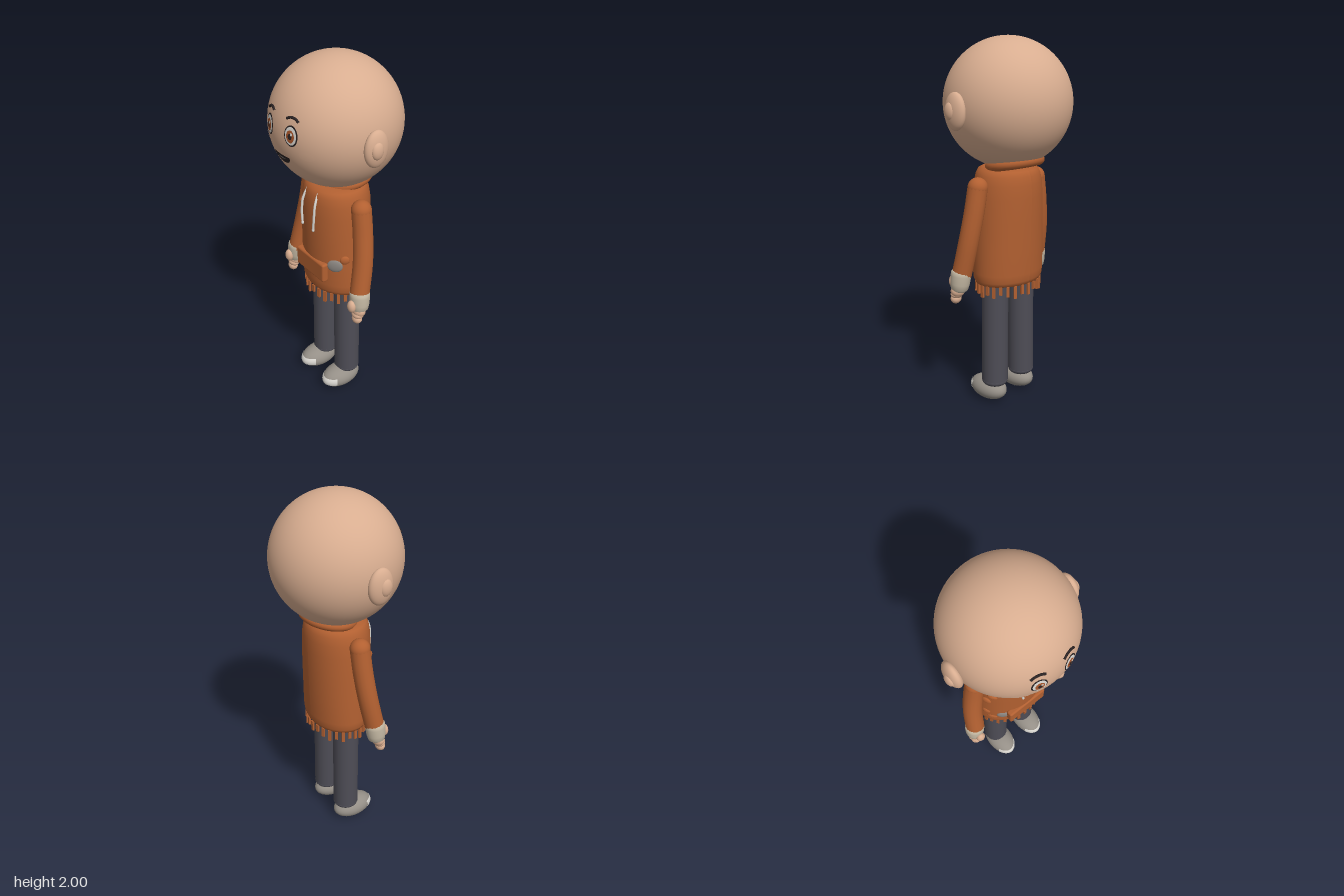
import * as THREE from 'three';
import { RoundedBoxGeometry } from 'three/addons/geometries/RoundedBoxGeometry.js';

const mat = (name, color, double) => {
  const m = new THREE.MeshStandardMaterial({ color });
  m.name = name;
  if (double) m.side = THREE.DoubleSide;
  return m;
};
const V = (x, y, z) => new THREE.Vector3(x, y, z);

export function createModel() {
  const root = new THREE.Group();
  root.name = 'boyInHoodie';
  const skin = mat('skin', 0xd8ad90);
  const hoodie = mat('hoodieOrange', 0xb26031);
  const trousersMat = mat('trouserGrey', 0x4e4d56);
  const shoeMat = mat('shoeGrey', 0x958f87);
  const pale = mat('paleTrim', 0xd9d6d0);
  const cuffMat = mat('cuffBeige', 0xc3b7a2);
  const dark = mat('dark', 0x2a2222);
  const irisMat = mat('irisBrown', 0xa5542a);
  const patchMat = mat('patchGrey', 0x8a8580);

  const add = (name, geo, m, parent = root) => {
    const mesh = new THREE.Mesh(geo, m);
    mesh.name = name;
    parent.add(mesh);
    return mesh;
  };
  const ball = (name, m, p, r, parent = root) => {
    const b = add(name, new THREE.SphereGeometry(1, 32, 24), m, parent);
    b.position.set(...p);
    b.scale.set(...r);
    return b;
  };
  const tube = (name, m, pts, r, parent = root) => {
    const path = new THREE.CatmullRomCurve3(pts.map((p) => V(...p)));
    return add(name, new THREE.TubeGeometry(path, 24, r, 16), m, parent);
  };

  // Head and neck
  const R = 0.337, HY = 1.663;
  const head = add('head', new THREE.SphereGeometry(R, 72, 54), skin);
  head.position.y = HY;
  const neck = add('neck', new THREE.CylinderGeometry(0.08, 0.085, 0.14, 32), skin);
  neck.position.set(0, 1.36, -0.02);

  // Thin patch that follows the curve of the face
  const onFace = (x, y, lift) => Math.sqrt((R + lift) ** 2 - x * x - (y - HY) ** 2);
  const facePatch = (name, m, cx, cy, rx, ry, lift, start = 0, sweep = Math.PI * 2) => {
    const g = new THREE.RingGeometry(0.0001, 1, 40, 6, start, sweep);
    const p = g.attributes.position;
    for (let i = 0; i < p.count; i++) {
      const x = cx + p.getX(i) * rx, y = cy + p.getY(i) * ry;
      p.setXYZ(i, x, y, onFace(x, y, lift));
    }
    g.computeVertexNormals();
    return add(name, g, m);
  };

  for (const s of [1, -1]) {
    const side = s > 0 ? 'left' : 'right';
    const ex = s * 0.088, ey = 1.692;

    // Eyes, brows and cheeks
    facePatch(side + 'EyeOutline', dark, ex, ey, 0.039, 0.052, 0.002);
    facePatch(side + 'EyeWhite', pale, ex, ey, 0.033, 0.045, 0.0035);
    facePatch(side + 'Iris', irisMat, ex, ey - 0.002, 0.023, 0.031, 0.005);
    facePatch(side + 'Pupil', dark, ex, ey - 0.002, 0.011, 0.015, 0.0065);
    facePatch(side + 'EyeGlint', pale, ex + 0.009, ey + 0.012, 0.006, 0.008, 0.008);
    const brow = [[0.052, 1.768], [0.075, 1.778], [0.1, 1.776], [0.122, 1.763]];
    tube(side + 'Brow', dark, brow.map(([x, y]) => [s * x, y, onFace(x, y, 0.002)]), 0.0065);
    facePatch(side + 'Cheek', skin, s * 0.165, 1.607, 0.037, 0.024, 0.003);

    // Ears
    ball(side + 'Ear', skin, [s * 0.342, 1.64, 0.024], [0.036, 0.095, 0.068]);
    ball(side + 'EarInner', skin, [s * 0.367, 1.642, 0.036], [0.021, 0.045, 0.034]);

    // Sleeve
    const arm = new THREE.Group();
    arm.name = side + 'Arm';
    root.add(arm);
    const shoulder = [s * 0.218, 1.245, 0.003], wrist = [s * 0.288, 0.775, 0.06];
    tube('sleeve', hoodie, [shoulder, [s * 0.24, 1.12, 0.008], [s * 0.267, 0.96, 0.025], wrist], 0.053, arm);
    ball('shoulder', hoodie, shoulder, [0.053, 0.053, 0.053], arm);

    // Cuff
    const profile = [[0, 0], [0.032, 0], [0.046, 0.014], [0.052, 0.045], [0.055, 0.09], [0.054, 0.108], [0.046, 0.117], [0, 0.118]];
    const cuff = add('cuff', new THREE.LatheGeometry(profile.map(([x, y]) => new THREE.Vector2(x, y)), 32), cuffMat, arm);
    cuff.position.set(s * 0.301, 0.686, 0.068);
    cuff.rotation.set(-0.08, 0, s * 0.1);

    // Hand
    ball('palm', skin, [s * 0.303, 0.69, 0.075], [0.042, 0.037, 0.034], arm);
    ball('knuckles', skin, [s * 0.304, 0.668, 0.083], [0.036, 0.024, 0.03], arm);
    ball('fingers', skin, [s * 0.306, 0.642, 0.088], [0.031, 0.028, 0.026], arm);
    ball('thumb', skin, [s * 0.296, 0.73, 0.118], [0.026, 0.036, 0.022], arm);

    // Leg
    tube(side + 'TrouserLeg', trousersMat, [[s * 0.1, 0.76, 0], [s * 0.102, 0.45, 0], [s * 0.105, 0.125, 0]], 0.0725);
    ball(side + 'TrouserHem', trousersMat, [s * 0.105, 0.126, 0], [0.0725, 0.035, 0.0725]);

    // Shoe with toe cap and sole
    const shoe = new THREE.Group();
    shoe.name = side + 'Shoe';
    shoe.position.set(s * 0.109, 0.066, 0.046);
    root.add(shoe);
    ball('upper', shoeMat, [0, 0, 0], [0.076, 0.065, 0.122], shoe);
    const cap = add('toeCap', new THREE.SphereGeometry(1, 24, 12, Math.PI / 2 - 0.95, 1.9, 1.15, 0.7), pale, shoe);
    cap.scale.set(0.0775, 0.0665, 0.1245);
    const sole = add('sole', new THREE.SphereGeometry(1, 32, 10, 0, Math.PI * 2, 2.45, Math.PI - 2.45), pale, shoe);
    sole.scale.set(0.077, 0.066, 0.1235);
  }

  // Smile
  facePatch('mouth', dark, 0, 1.568, 0.064, 0.046, 0.003, Math.PI, Math.PI);
  facePatch('tongue', patchMat, 0, 1.551, 0.03, 0.004, 0.0045);

  // Hoodie body, deeper towards the shoulders
  const depth = (y) => 0.775 + (y - 0.76) * 0.26;
  const body = [[0, 0.71], [0.17, 0.7], [0.2, 0.708], [0.21, 0.73], [0.213, 0.77], [0.208, 0.9], [0.203, 1.05],
    [0.197, 1.18], [0.19, 1.25], [0.18, 1.295], [0.165, 1.322], [0.14, 1.335], [0, 1.34]];
  const bodyGeo = new THREE.LatheGeometry(body.map(([x, y]) => new THREE.Vector2(x, y)), 64, Math.PI);
  const bp = bodyGeo.attributes.position;
  for (let i = 0; i < bp.count; i++) bp.setZ(i, bp.getZ(i) * depth(bp.getY(i)));
  bodyGeo.computeVertexNormals();
  add('hoodieBody', bodyGeo, hoodie);

  // Tilted collar ring
  const collar = add('collar', new THREE.TorusGeometry(0.128, 0.036, 20, 56), hoodie);
  collar.rotation.x = Math.PI / 2 + 0.2;
  collar.scale.set(1, 0.93, 0.8);
  collar.position.set(0, 1.352, -0.05);

  // Ragged hem strips
  for (let i = 0; i < 28; i++) {
    const a = (i / 28) * Math.PI * 2;
    const len = 0.045 + 0.025 * ((i * 7) % 5) / 4;
    const strip = add('hemStrip', new THREE.BoxGeometry(0.017, len, 0.012), hoodie);
    strip.position.set(0.195 * Math.sin(a), 0.71 - len / 2, 0.153 * Math.cos(a));
    strip.rotation.y = a;
  }

  // Front pocket
  const pocket = add('pocket', new RoundedBoxGeometry(0.245, 0.112, 0.04, 4, 0.012), hoodie);
  pocket.position.set(-0.002, 0.857, 0.157);

  // Patches and frayed lumps lying on the hoodie
  const lump = (name, m, x, y, rx, ry) => {
    const k = 0.206, z = k * depth(y) * Math.sqrt(Math.max(0, 1 - (x / k) ** 2));
    const b = ball(name, m, [x, y, z], [rx, ry, 0.012]);
    b.rotation.y = Math.atan2(x / (k * k), z / (k * depth(y)) ** 2);
  };
  lump('patch', patchMat, 0.148, 0.905, 0.042, 0.038);
  lump('patch', patchMat, -0.135, 0.847, 0.036, 0.036);
  for (const [x, y, rx, ry] of [[0.183, 0.945, 0.026, 0.025], [-0.178, 1.155, 0.028, 0.02],
    [-0.195, 1.06, 0.03, 0.03], [-0.196, 0.87, 0.026, 0.024], [-0.178, 0.805, 0.03, 0.022]]) {
    lump('frayedLump', hoodie, x, y, rx, ry);
  }

  // Drawstrings
  for (const s of [1, -1]) {
    tube('drawstring', pale, [[s * 0.044, 1.31, 0.145], [s * 0.053, 1.25, 0.172], [s * 0.054, 1.18, 0.181], [s * 0.048, 1.105, 0.183]], 0.0065);
    ball('drawstringTip', pale, [s * 0.048, 1.105, 0.183], [0.0075, 0.011, 0.0075]);
  }
  return root;
}
